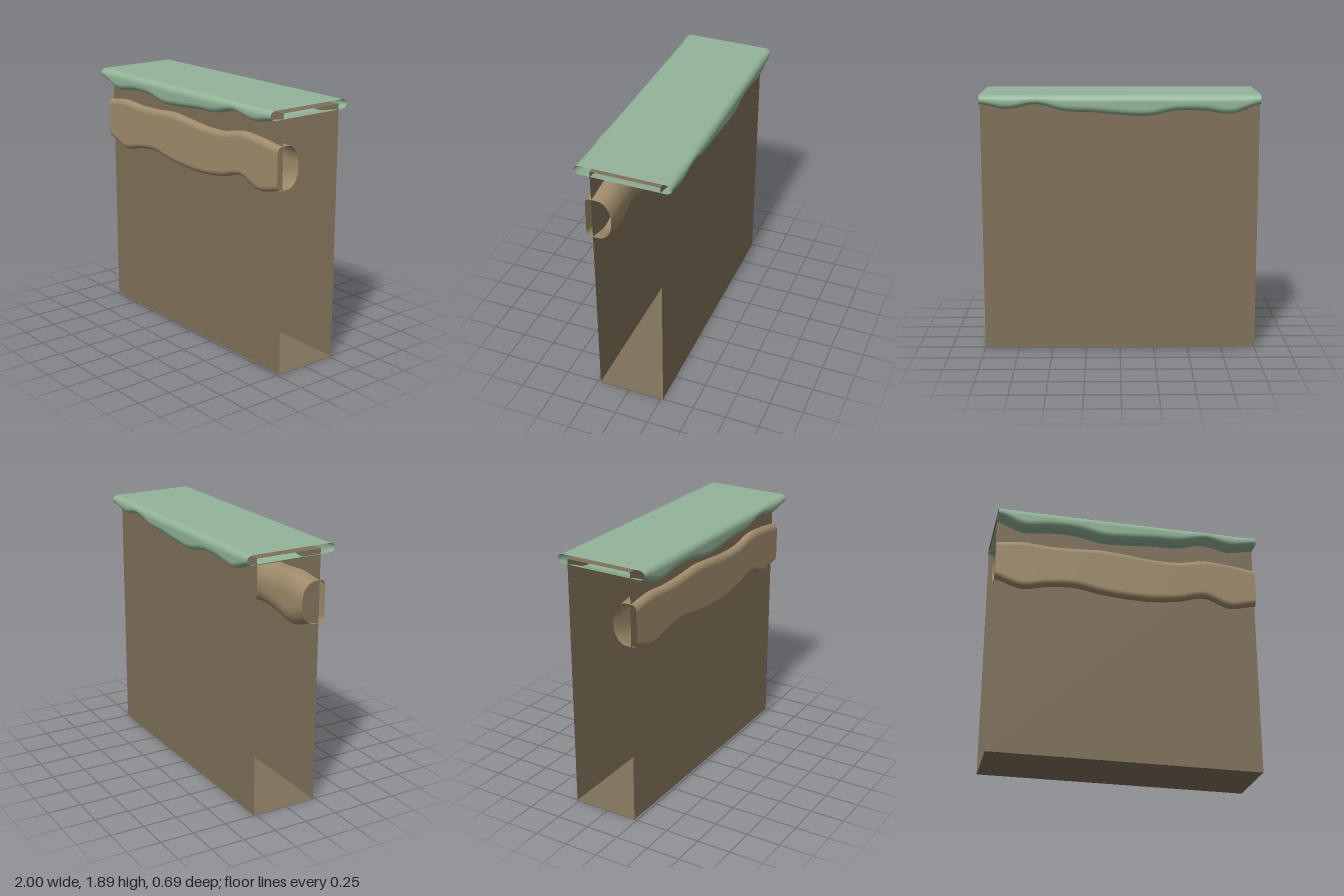
import * as THREE from 'three';

const material = (color) => new THREE.MeshStandardMaterial({ color, side: THREE.DoubleSide });

// Smooth height curve through evenly spaced heights; t runs 0..1 along x
function wave(heights) {
  const curve = new THREE.SplineCurve(heights.map((y, i) => new THREE.Vector2(i, y)));
  return (t) => curve.getPoint(t).y;
}

// Open-ended tube along x: rounded rectangle between zBack and zFront,
// with bottom and top following wave curves. Radii are [rz, ry].
function waveTube({ zBack, zFront, bottom, top, frontRadius, backRadius, steps = 100, arc = 10 }) {
  const positions = [], index = [];
  const ring = 4 * (arc + 1);
  for (let i = 0; i <= steps; i++) {
    const t = i / steps, lo = bottom(t), hi = top(t);
    for (let corner = 0; corner < 4; corner++) {
      const front = corner === 0 || corner === 3, upper = corner < 2;
      const [rz, ryMax] = front ? frontRadius : backRadius;
      const ry = Math.min(ryMax, (hi - lo) * 0.46);
      const cz = front ? zFront - rz : zBack + rz;
      const cy = upper ? hi - ry : lo + ry;
      for (let k = 0; k <= arc; k++) {
        const a = (corner + k / arc) * Math.PI / 2;
        positions.push(2 * t - 1, cy + ry * Math.sin(a), cz + rz * Math.cos(a));
      }
    }
  }
  for (let i = 0; i < steps; i++) {
    for (let j = 0; j < ring; j++) {
      const a = i * ring + j, c = i * ring + (j + 1) % ring;
      index.push(a, a + ring, c, a + ring, c + ring, c);
    }
  }
  const geometry = new THREE.BufferGeometry();
  geometry.setAttribute('position', new THREE.Float32BufferAttribute(positions, 3));
  geometry.setIndex(index);
  geometry.computeVertexNormals();
  return geometry;
}

// Box without its two x ends
function openBox(width, height, depth) {
  const geometry = new THREE.BoxGeometry(width, height, depth);
  geometry.setIndex(Array.from(geometry.index.array).slice(12));
  geometry.clearGroups();
  return geometry;
}

export function createModel() {
  const group = new THREE.Group();
  const add = (name, geometry, color) => {
    const mesh = new THREE.Mesh(geometry, material(color));
    mesh.name = name;
    group.add(mesh);
    return mesh;
  };

  // Earth wall, open at both ends
  add('wallBlock', openBox(2, 1.86, 0.497), 0x80715a).position.set(0, 0.93, -0.019);

  // Lighter wavy layer set into the front of the wall
  add('wavyBand', waveTube({
    zBack: 0.09, zFront: 0.277,
    bottom: wave([1.335, 1.277, 1.315, 1.33, 1.298, 1.282, 1.283, 1.31, 1.357, 1.295, 1.335]),
    top: wave([1.638, 1.66, 1.648, 1.652, 1.665, 1.65, 1.632, 1.635, 1.672, 1.662, 1.637]),
    frontRadius: [0.035, 0.045], backRadius: [0.1, 0.15],
  }), 0xa08c6c);

  // Grass cap with a flat top and a wavy underside
  add('grassCap', waveTube({
    zBack: -0.343, zFront: 0.343,
    bottom: wave([1.82, 1.752, 1.773, 1.773, 1.737, 1.745, 1.762, 1.772, 1.82, 1.785, 1.82]),
    top: () => 1.887,
    frontRadius: [0.045, 0.05], backRadius: [0.045, 0.05],
  }), 0x93b599);

  return group;
}
